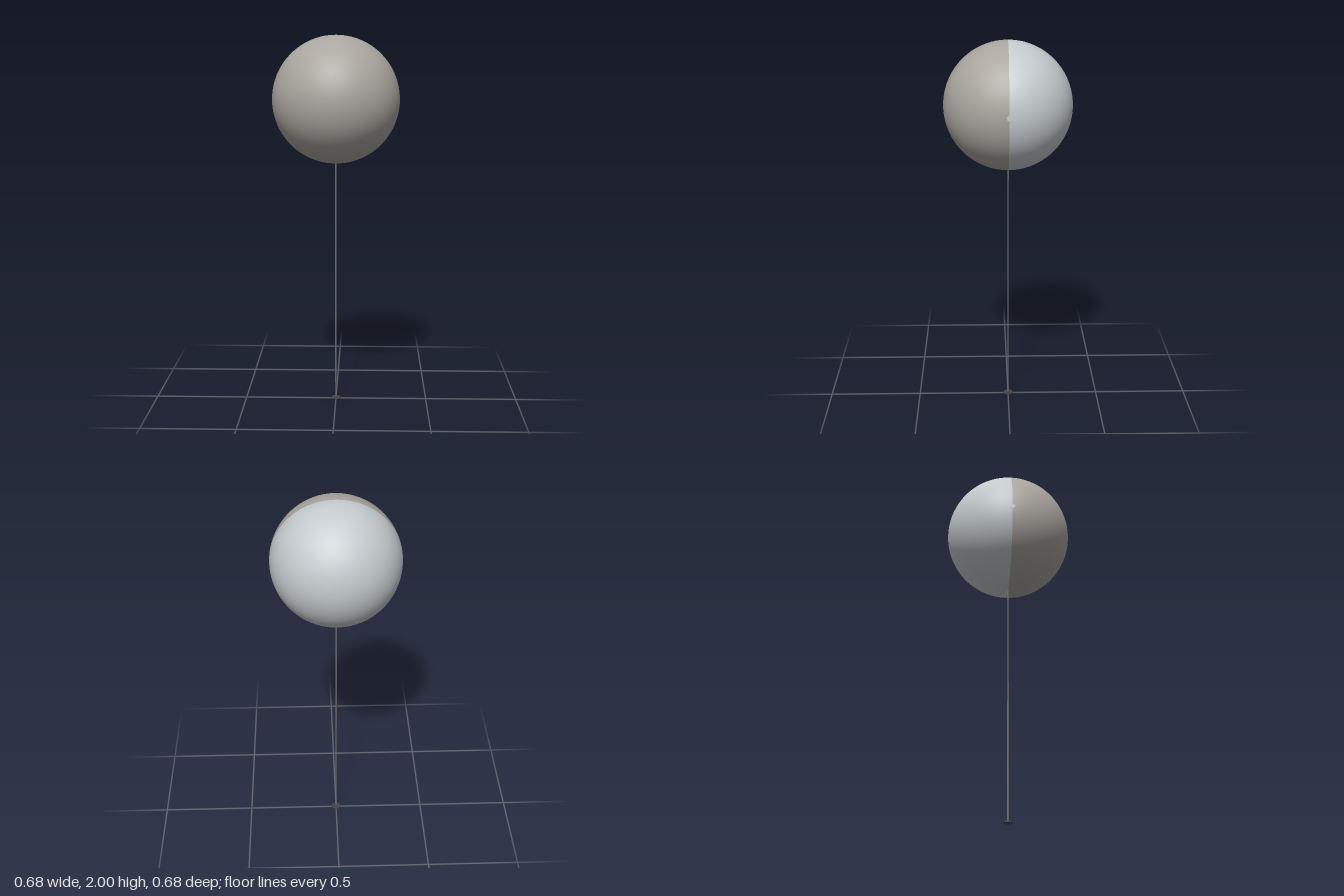
import * as THREE from 'three';

const RADIUS = 0.34;
const CENTRE_Y = 2 - RADIUS;

function addPart(parent, name, geometry, color, x = 0, y = 0, z = 0) {
  const mesh = new THREE.Mesh(geometry, new THREE.MeshStandardMaterial({ color }));
  mesh.name = name;
  mesh.position.set(x, y, z);
  parent.add(mesh);
  return mesh;
}

export function createModel() {
  const model = new THREE.Group();
  model.name = 'ballOnStand';

  // Ball made of a warm grey front half and a cool grey back half
  const ball = new THREE.Group();
  ball.name = 'ball';
  ball.position.y = CENTRE_Y;
  model.add(ball);
  for (const [name, side, color] of [['frontShell', 1, 0xaaa69f], ['backShell', -1, 0xc4cacd]]) {
    const half = new THREE.SphereGeometry(RADIUS, 96, 32, 0, Math.PI * 2, 0, Math.PI / 2);
    half.rotateX(side * Math.PI / 2);
    addPart(ball, name, half, color);
  }

  // Small hinge pins, almost flush with the ball, on the seam at both sides
  for (const [name, side] of [['leftPin', 1], ['rightPin', -1]]) {
    const pin = new THREE.CylinderGeometry(0.014, 0.014, 0.03, 24);
    pin.rotateZ(Math.PI / 2);
    addPart(ball, name, pin, 0xcccccc, side * (RADIUS - 0.014));
  }

  // Thin rod from the foot into the underside of the ball
  const rodTop = CENTRE_Y - RADIUS + 0.01;
  addPart(model, 'rod', new THREE.CylinderGeometry(0.004, 0.004, rodTop, 16), 0x777777, 0, rodTop / 2);

  // Small round foot
  addPart(model, 'foot', new THREE.CylinderGeometry(0.025, 0.025, 0.008, 32), 0x444444, 0, 0.004);

  return model;
}
